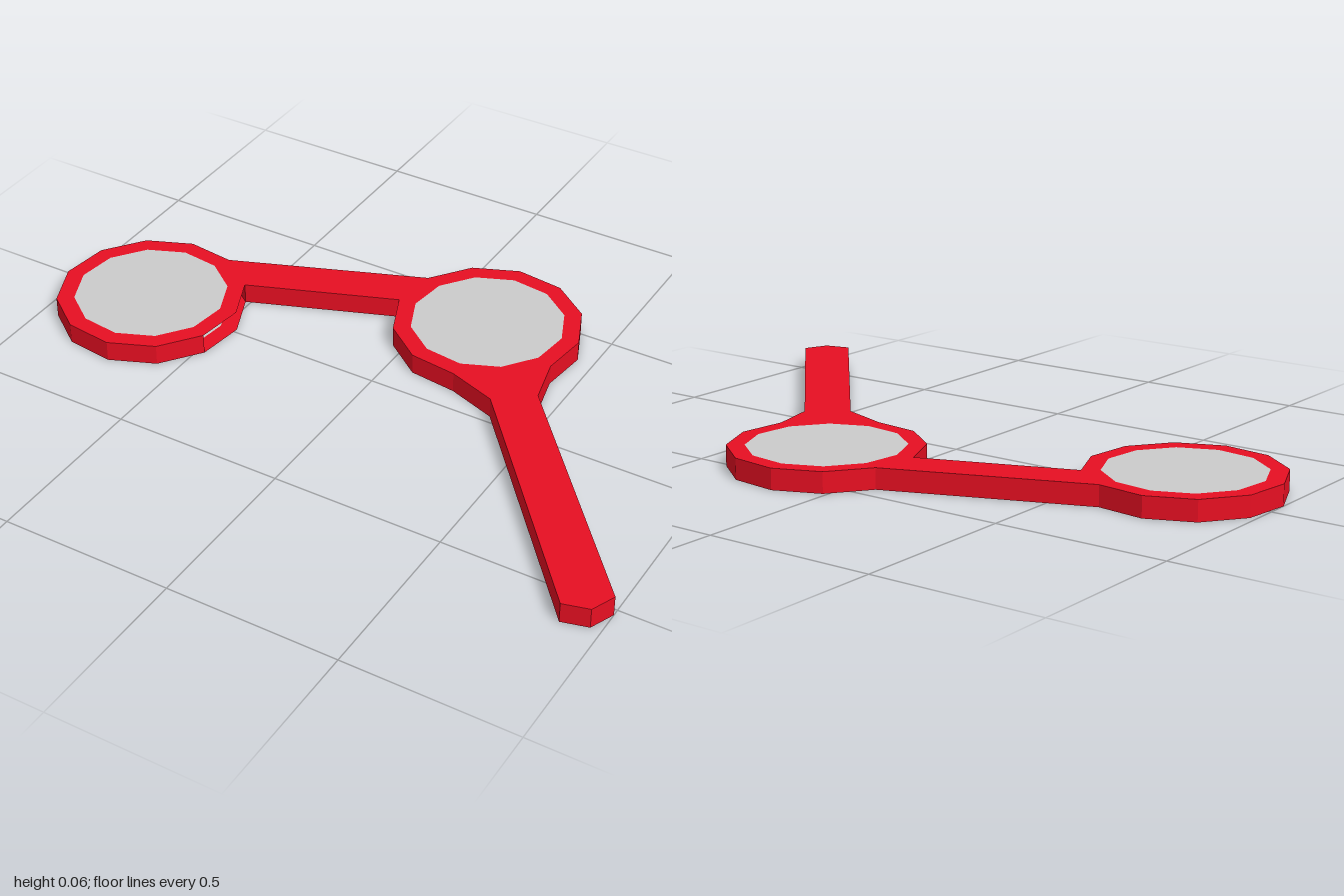
import * as THREE from 'three';

const H = 0.06, OUTER = 0.273, INNER = 0.222, SIDES = 12;
const STEP = (Math.PI * 2) / SIDES, TURN = THREE.MathUtils.degToRad(8);

const frameMaterial = new THREE.MeshStandardMaterial({ color: 0xe80f22, flatShading: true, side: THREE.DoubleSide });
const lensMaterial = new THREE.MeshStandardMaterial({ color: 0xcccccc, flatShading: true, side: THREE.DoubleSide });

const rightEye = { x: -0.73, z: 0.025 };
const leftEye = { x: 0.18, z: -0.345 };

function addMesh(parent, name, geometry, material) {
  const mesh = new THREE.Mesh(geometry, material);
  mesh.name = name;
  parent.add(mesh);
  return mesh;
}

// Corner k of a rim, in plan (x, z)
function corner(eye, k) {
  const a = k * STEP - TURN;
  return [eye.x + OUTER * Math.cos(a), eye.z + OUTER * Math.sin(a)];
}

// A hollow twelve-sided rim with flush lens faces; walls lists the closed runs of its edge
function makeEye(name, eye, walls) {
  const group = new THREE.Group();
  group.name = name;
  group.position.set(eye.x, 0, eye.z);
  for (const top of [true, false]) {
    const start = top ? TURN : -TURN;
    const place = (g) => g.rotateX(top ? -Math.PI / 2 : Math.PI / 2).translate(0, top ? H : 0, 0);
    const side = top ? 'Top' : 'Bottom';
    addMesh(group, 'rim' + side, place(new THREE.RingGeometry(INNER, OUTER, SIDES, 1, start)), frameMaterial);
    addMesh(group, 'lens' + side, place(new THREE.CircleGeometry(INNER, SIDES, start)), lensMaterial);
  }
  for (const [from, to] of walls) {
    const wall = new THREE.CylinderGeometry(OUTER, OUTER, H, to - from, 1, true,
      Math.PI / 2 - (to * STEP - TURN), (to - from) * STEP);
    addMesh(group, 'rimWall', wall.translate(0, H / 2, 0), frameMaterial);
  }
  return group;
}

// A flat bar from a plan outline
function makeBar(parent, name, points) {
  const shape = new THREE.Shape(points.map(([x, z]) => new THREE.Vector2(x, z)));
  const geometry = new THREE.ExtrudeGeometry(shape, { depth: H, bevelEnabled: false });
  addMesh(parent, name, geometry.rotateX(Math.PI / 2).translate(0, H, 0), frameMaterial);
}

export function createModel() {
  const model = new THREE.Group();
  model.name = 'handheldGlasses';

  model.add(makeEye('rightEye', rightEye, [[1, 10]]));
  model.add(makeEye('leftEye', leftEye, [[3, 6], [7, 13]]));

  // Bridge between the rims
  makeBar(model, 'bridge', [corner(rightEye, 10), corner(leftEye, 7), corner(leftEye, 6), corner(rightEye, 11)]);

  // Handle, flared where it meets the rim, with a blunt pointed tip
  makeBar(model, 'handle', [
    corner(leftEye, 1), [0.465, -0.105], [1, 0.52], [0.97, 0.59], [0.895, 0.61], [0.36, -0.025],
    corner(leftEye, 3), corner(leftEye, 2),
  ]);
  return model;
}
